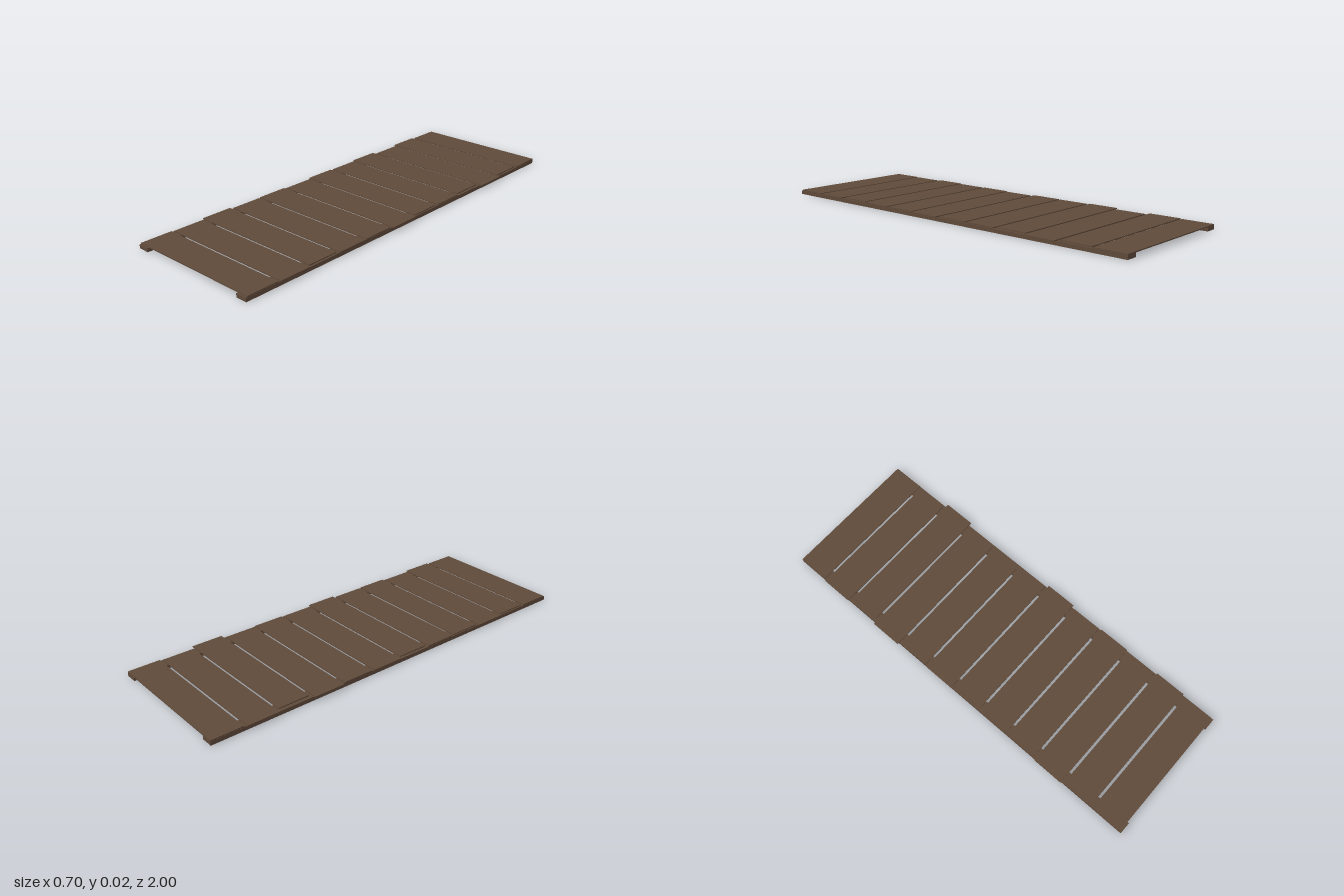
import * as THREE from 'three';

export function createModel() {
  const model = new THREE.Group();
  const wood = new THREE.MeshStandardMaterial({ color: 0x5f4a3a });
  wood.name = 'brown wood';

  const addBox = (name, size, position) => {
    const mesh = new THREE.Mesh(new THREE.BoxGeometry(...size), wood);
    mesh.name = name;
    mesh.position.set(...position);
    model.add(mesh);
  };

  // Two long rails under the deck
  const railHeight = 0.0185;
  addBox('leftRail', [0.056, railHeight, 2], [0.308, railHeight / 2, 0]);
  addBox('rightRail', [0.056, railHeight, 2], [-0.315, railHeight / 2, 0]);

  // Cross planks, each nudged sideways a little
  const shifts = [0, -0.008, 0.016, -0.012, -0.001, -0.005, 0.012, 0, 0.004, -0.008, 0.006, 0];
  const depth = 0.155, pitch = 0.167, thickness = 0.005;
  shifts.forEach((shift, i) => {
    addBox(`plank${i + 1}`, [0.677, thickness, depth],
      [-0.0035 + shift, railHeight + thickness / 2, -1 + depth / 2 + i * pitch]);
  });

  return model;
}
